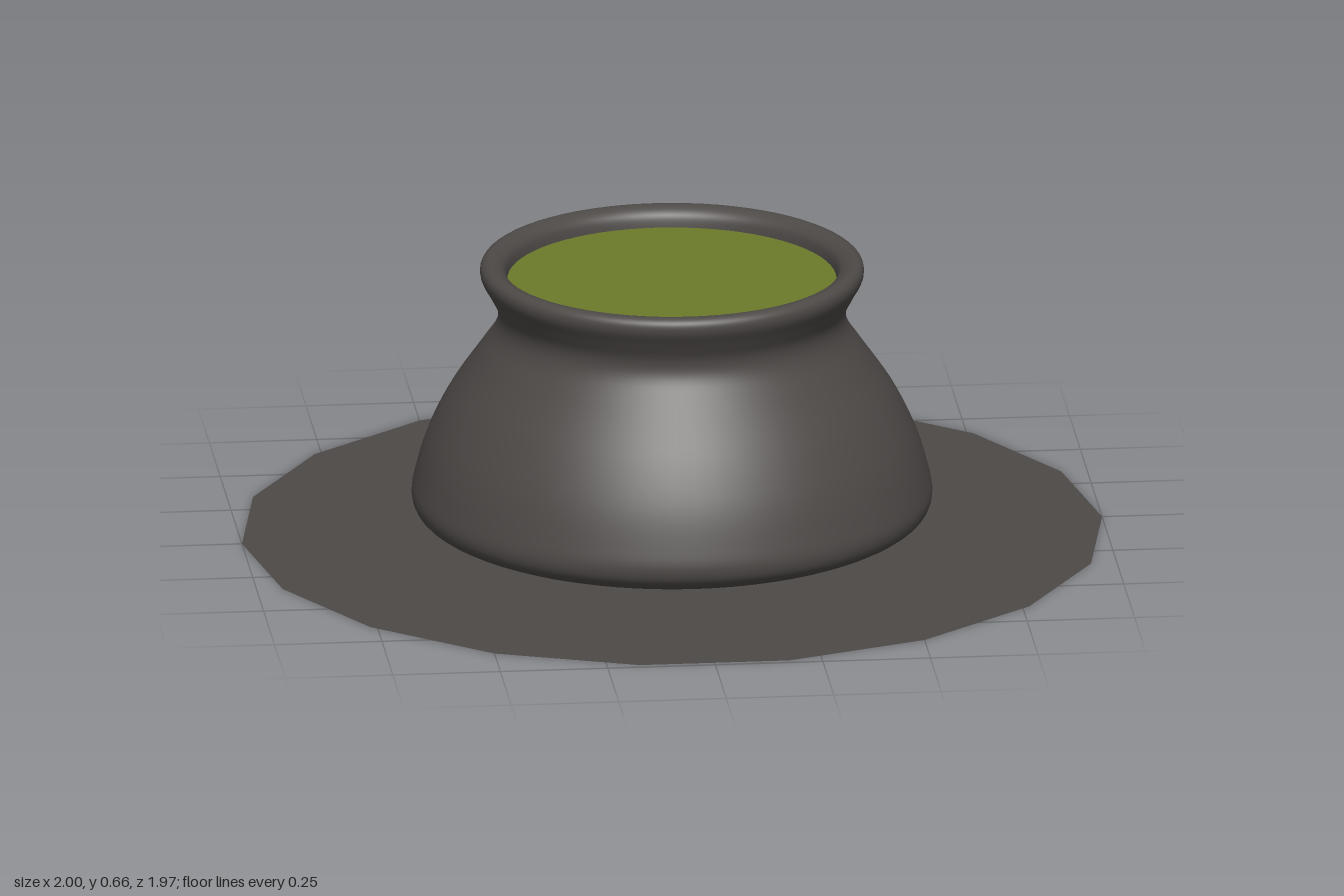
import * as THREE from 'three';

export function createModel() {
  const model = new THREE.Group();
  const iron = new THREE.MeshStandardMaterial({ name: 'dark iron', color: 0x4d4947, side: THREE.DoubleSide });
  const brew = new THREE.MeshStandardMaterial({ name: 'green brew', color: 0x6c7b2b });

  const add = (name, geometry, material) => {
    const mesh = new THREE.Mesh(geometry, material);
    mesh.name = name;
    model.add(mesh);
    return mesh;
  };

  // Flat eighteen-sided ground plate with corners on the x axis
  add('groundPlate', new THREE.CircleGeometry(1, 18).rotateX(-Math.PI / 2), iron);

  // Pot body: base, belly, neck, rolled rim and inner lip
  const profile = new THREE.SplineCurve([
    [0.36, 0.004], [0.49, 0.02], [0.575, 0.05], [0.602, 0.09], [0.593, 0.15],
    [0.565, 0.24], [0.515, 0.34], [0.45, 0.435], [0.41, 0.495], [0.403, 0.54],
    [0.422, 0.583], [0.442, 0.62], [0.442, 0.645], [0.425, 0.657],
    [0.402, 0.651], [0.386, 0.635], [0.38, 0.605],
  ].map(([r, y]) => new THREE.Vector2(r, y)));
  add('pot', new THREE.LatheGeometry(profile.getPoints(80), 72), iron);

  // Liquid surface just below the rim
  add('brewSurface', new THREE.CircleGeometry(0.382, 72).rotateX(-Math.PI / 2), brew).position.y = 0.612;

  return model;
}
